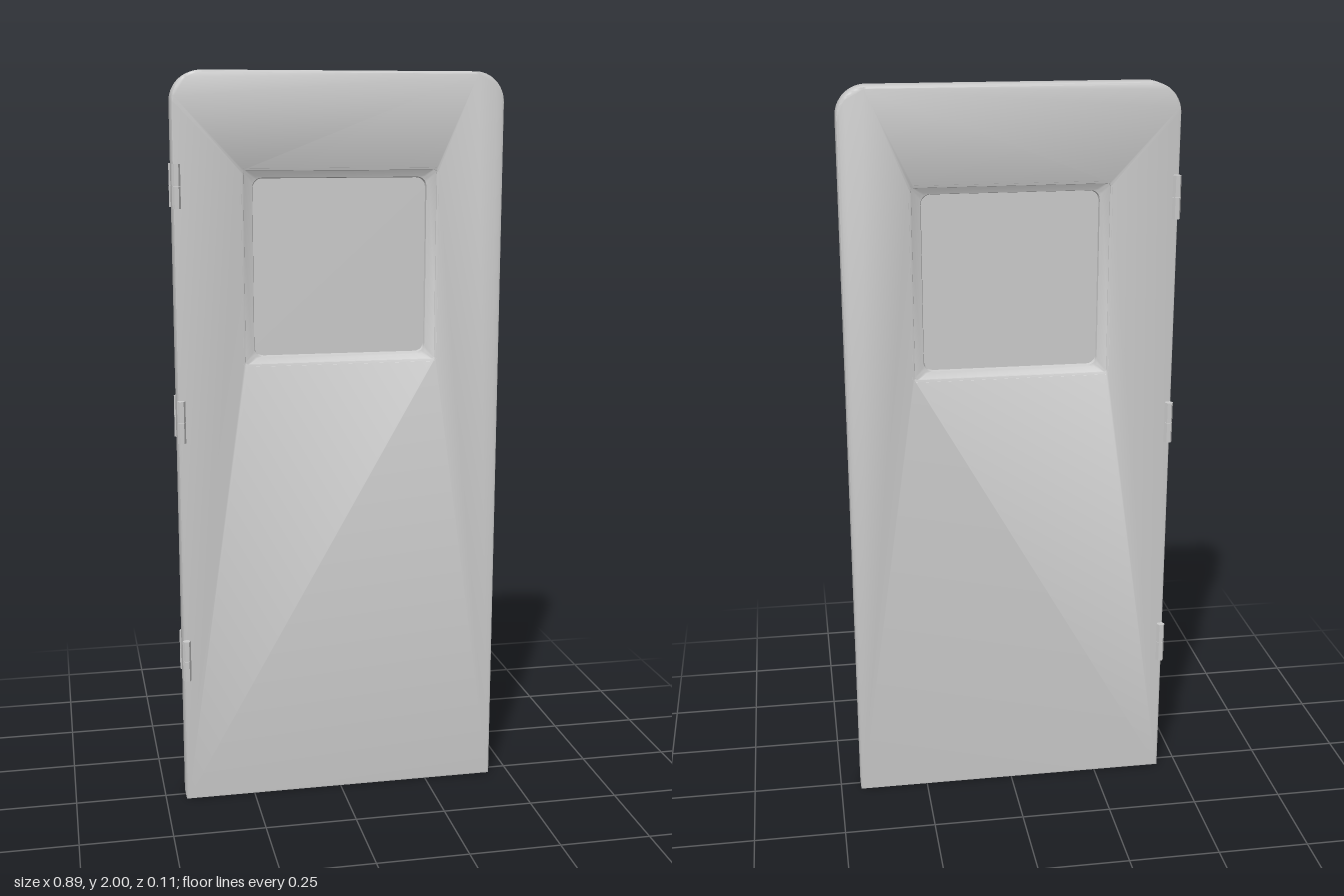
import * as THREE from 'three';
import { toCreasedNormals } from 'three/addons/utils/BufferGeometryUtils.js';

const W = 0.443, H = 2, D = 0.038, BEVEL = 0.006;
const WINDOW_Y = 1.491;
const grey = () => new THREE.MeshStandardMaterial({ color: 0xcccccc });

// Rounded rectangle corners as a loop of points, counter-clockwise
function roundedLoop(hw, hh, r, steps = 5) {
  const pts = [];
  [[1, 1], [-1, 1], [-1, -1], [1, -1]].forEach(([sx, sy], k) => {
    for (let i = 0; i <= steps; i++) {
      const a = (k + i / steps) * Math.PI / 2;
      pts.push(new THREE.Vector2(sx * (hw - r) + r * Math.cos(a), sy * (hh - r) + r * Math.sin(a)));
    }
  });
  return pts;
}

// Stepped surface running inwards through rounded loops, closed by a flat pane
function recessGeometry(rings) {
  const pos = [], idx = [];
  const n = roundedLoop(1, 1, 0.1).length;
  rings.forEach(([hw, hh, r, z]) => roundedLoop(hw, hh, r).forEach(p => pos.push(p.x, p.y, z)));
  for (let k = 0; k < rings.length - 1; k++) {
    for (let i = 0; i < n; i++) {
      const a = k * n + i, b = k * n + (i + 1) % n;
      idx.push(a, b, b + n, a, b + n, a + n);
    }
  }
  const last = (rings.length - 1) * n, centre = pos.length / 3;
  pos.push(0, 0, rings[rings.length - 1][3]);
  for (let i = 0; i < n; i++) idx.push(centre, last + i, last + (i + 1) % n);
  const g = new THREE.BufferGeometry();
  g.setAttribute('position', new THREE.Float32BufferAttribute(pos, 3));
  g.setIndex(idx);
  return toCreasedNormals(g, 0.5);
}

export function createModel() {
  const door = new THREE.Group();
  door.name = 'door';

  // Slab with rounded top corners, bevelled edges and a window opening
  const R = 0.08;
  const outline = new THREE.Shape();
  outline.moveTo(-W, 0).lineTo(W, 0).lineTo(W, H - R);
  outline.absarc(W - R, H - R, R, 0, Math.PI / 2, false);
  outline.lineTo(-W + R, H);
  outline.absarc(-W + R, H - R, R, Math.PI / 2, Math.PI, false);
  outline.closePath();
  const opening = roundedLoop(0.258, 0.253, 0.006).map(p => p.add(new THREE.Vector2(0, WINDOW_Y)));
  outline.holes.push(new THREE.Path(opening.reverse()));
  const slabGeo = new THREE.ExtrudeGeometry(outline, {
    depth: 2 * (D - BEVEL), bevelEnabled: true, bevelThickness: BEVEL,
    bevelSize: BEVEL, bevelOffset: -BEVEL, bevelSegments: 2, curveSegments: 8,
  });
  slabGeo.translate(0, 0, -(D - BEVEL));
  const slab = new THREE.Mesh(toCreasedNormals(slabGeo, 0.6), grey());
  slab.name = 'doorSlab';
  door.add(slab);

  // Recessed window: sloped surround, small lip, pane; one on each face
  const windowGeo = recessGeometry([
    [0.266, 0.261, 0.01, D + 0.0002],
    [0.241, 0.241, 0.02, 0.026],
    [0.235, 0.236, 0.025, 0.024],
    [0.233, 0.234, 0.025, 0.016],
  ]);
  for (const side of [1, -1]) {
    const pane = new THREE.Mesh(windowGeo, grey());
    pane.name = side > 0 ? 'frontWindow' : 'backWindow';
    pane.position.y = WINDOW_Y;
    if (side < 0) pane.rotation.y = Math.PI;
    door.add(pane);
  }

  // Three hinges per face, each with two six-sided knuckles
  const knuckleGeo = new THREE.CylinderGeometry(0.0112, 0.0112, 0.0565, 6, 1, false, Math.PI / 2);
  const hingeMat = grey();
  hingeMat.flatShading = true;
  for (const y of [0.417, 1.088, 1.707]) {
    for (const side of [1, -1]) {
      const hinge = new THREE.Group();
      hinge.name = side > 0 ? 'frontHinge' : 'backHinge';
      hinge.position.set(-0.435, y, side * 0.0475);
      for (const k of [-1, 1]) {
        const knuckle = new THREE.Mesh(knuckleGeo, hingeMat);
        knuckle.name = 'hingeKnuckle';
        knuckle.position.y = k * 0.0287;
        hinge.add(knuckle);
      }
      door.add(hinge);
    }
  }
  return door;
}
